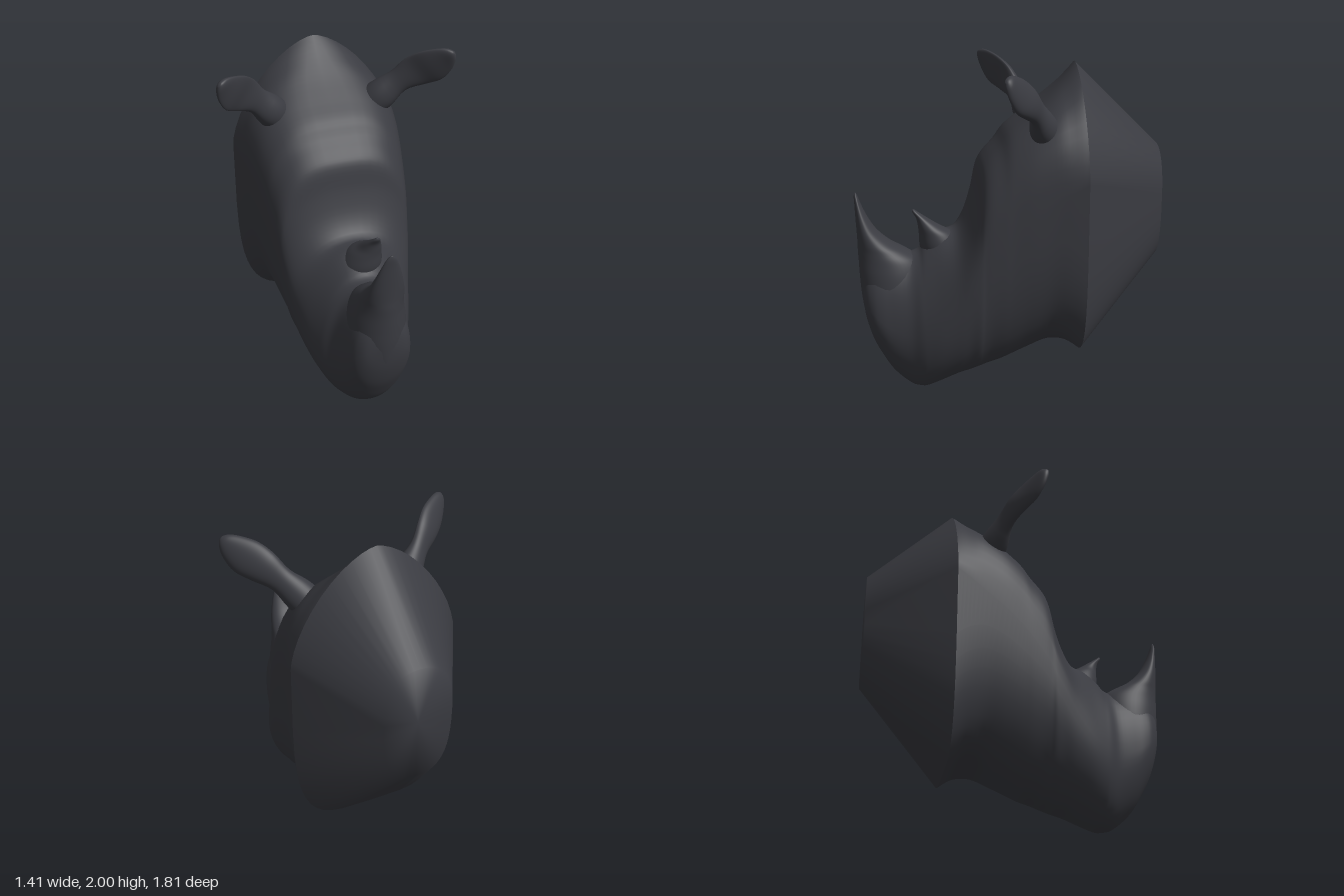
import * as THREE from 'three';

const SIDES = 48;

// Skin a list of rings (counter-clockwise seen from the far end), closing the chosen ends
function loft(rings, closeStart, closeEnd) {
  const n = rings[0].length, last = rings.length - 1, pos = [], idx = [];
  rings.forEach(r => r.forEach(p => pos.push(p.x, p.y, p.z)));
  for (let i = 0; i < last; i++) {
    for (let j = 0; j < n; j++) {
      const a = i * n + j, b = i * n + (j + 1) % n;
      idx.push(a, b, a + n, b, b + n, a + n);
    }
  }
  const close = (k, flip) => {
    const c = new THREE.Vector3();
    rings[k].forEach(p => c.addScaledVector(p, 1 / n));
    const m = pos.length / 3;
    pos.push(c.x, c.y, c.z);
    for (let j = 0; j < n; j++) {
      const a = k * n + j, b = k * n + (j + 1) % n;
      if (flip) idx.push(m, b, a); else idx.push(m, a, b);
    }
  };
  if (closeStart) close(0, true);
  if (closeEnd) close(last, false);
  const g = new THREE.BufferGeometry();
  g.setAttribute('position', new THREE.Float32BufferAttribute(pos, 3));
  g.setIndex(idx);
  g.computeVertexNormals();
  return g;
}

// Smooth curve through four neighbouring values
function blend(a, b, c, d, t) {
  const cubic = 3 * (b - c) + d - a;
  const square = 2 * a - 5 * b + 4 * c - d;
  return b + 0.5 * t * (c - a + t * (square + t * cubic));
}

// Insert smooth in-between rows into a table of section numbers
function smoothRows(rows, steps) {
  const out = [];
  for (let i = 0; i < rows.length - 1; i++) {
    const p0 = rows[Math.max(i - 1, 0)], p1 = rows[i], p2 = rows[i + 1];
    const p3 = rows[Math.min(i + 2, rows.length - 1)];
    for (let s = 0; s < steps; s++) {
      out.push(p1.map((v, k) => blend(p0[k], v, p2[k], p3[k], s / steps)));
    }
  }
  out.push(rows[rows.length - 1]);
  return out;
}

const ringAngles = Array.from({ length: SIDES }, (_, j) => j / SIDES * Math.PI * 2);
const power = (v, n) => Math.sign(v) * Math.pow(Math.abs(v), 2 / n);

// Upright slice: z, bottom, widest height, top, half width, roundness above and below
function headRing([z, yb, ym, yt, w, nt, nb]) {
  return ringAngles.map(a => {
    const c = Math.cos(a), s = Math.sin(a), n = s > 0 ? nt : nb;
    const h = s > 0 ? yt - ym : ym - yb;
    return new THREE.Vector3(w * power(c, n), ym + h * power(s, n), z);
  });
}

// Level slice of a horn: y, back z, front z, half width, sideways shift
function hornRing([y, zb, zf, w, x]) {
  return ringAngles.map(a => new THREE.Vector3(
    x + w * Math.cos(a), y, (zb + zf) / 2 - (zf - zb) / 2 * Math.sin(a)));
}

// Ear slices follow a path; the front face is hollowed
function earGeometry(side) {
  const rows = smoothRows([ // x, y, z, half width, half thickness, front fullness
    [0.22, 1.53, -0.25, 0.09, 0.09, 1], [0.34, 1.66, -0.16, 0.095, 0.08, 1],
    [0.43, 1.755, -0.11, 0.075, 0.05, 0.8], [0.51, 1.825, -0.05, 0.1, 0.055, 0.35],
    [0.58, 1.875, 0.01, 0.108, 0.052, 0.3], [0.64, 1.925, 0.055, 0.08, 0.04, 0.4],
    [0.675, 1.96, 0.08, 0.045, 0.028, 0.7], [0.69, 1.975, 0.092, 0.012, 0.01, 1],
  ], 4);
  const d = new THREE.Vector3(0.64, 0.62, 0.45).normalize();
  const v = d.clone().cross(new THREE.Vector3(-0.6, 0.75, -0.2)).normalize();
  const w = v.clone().cross(d);
  const rings = rows.map(([x, y, z, hw, ht, full]) => {
    const ring = ringAngles.map(a => {
      const s = Math.sin(a);
      const p = new THREE.Vector3(x, y, z).addScaledVector(w, hw * Math.cos(a))
        .addScaledVector(v, ht * s * (s > 0 ? full : 1));
      p.x *= side;
      return p;
    });
    return side < 0 ? ring.reverse() : ring;
  });
  return loft(rings, false, true);
}

export function createModel() {
  const model = new THREE.Group();
  model.name = 'rhinoHead';
  const hide = new THREE.MeshStandardMaterial({ color: 0x3a3b41 });
  hide.name = 'charcoal';
  const add = (name, geometry) => {
    const mesh = new THREE.Mesh(geometry, hide);
    mesh.name = name;
    model.add(mesh);
  };

  // Head from the neck rim to the lips
  const neckRim = [-0.4, 0.28, 1.36, 1.99, 0.515, 1.55, 4.3];
  add('head', loft(smoothRows([
    neckRim,
    [-0.32, 0.32, 1.31, 1.89, 0.50, 1.95, 3.5],
    [-0.22, 0.31, 1.24, 1.79, 0.48, 2.6, 2.8],
    [-0.1, 0.25, 1.15, 1.69, 0.46, 3.0, 2.5],
    [0, 0.20, 1.06, 1.61, 0.44, 3.0, 2.4],
    [0.06, 0.17, 0.99, 1.53, 0.43, 3.0, 2.3],
    [0.13, 0.145, 0.90, 1.455, 0.415, 3.0, 2.2],
    [0.17, 0.13, 0.84, 1.39, 0.405, 2.8, 2.2],
    [0.2, 0.12, 0.78, 1.25, 0.40, 2.6, 2.2],
    [0.25, 0.10, 0.70, 1.10, 0.385, 2.4, 2.1],
    [0.32, 0.08, 0.58, 1.005, 0.36, 2.2, 2.1],
    [0.42, 0.035, 0.46, 0.99, 0.325, 1.9, 2.0],
    [0.5, 0.003, 0.41, 0.93, 0.29, 1.9, 2.0],
    [0.54, 0.002, 0.40, 0.88, 0.27, 2.0, 2.0],
    [0.6, 0.02, 0.40, 0.86, 0.235, 2.0, 2.0],
    [0.7, 0.11, 0.43, 0.86, 0.205, 2.1, 2.0],
    [0.77, 0.22, 0.48, 0.84, 0.187, 2.1, 2.0],
    [0.82, 0.32, 0.53, 0.80, 0.163, 2.1, 2.0],
    [0.86, 0.45, 0.58, 0.74, 0.115, 2.1, 2.0],
    [0.88, 0.58, 0.62, 0.67, 0.03, 2.0, 2.0],
  ], 4).map(headRing), false, true));

  // Tapered neck block, closed at the back
  const neckEnd = [-0.9, 0.81, 1.2, 1.5, 0.21, 2.4, 2.8];
  add('neckBack', loft([neckEnd, neckRim].map(headRing), true, false));

  // Long nose horn, broad at its base and swept up to the tip
  add('frontHorn', loft(smoothRows([
    [0.33, 0.55, 0.80, 0.06, 0],
    [0.45, 0.52, 0.858, 0.115, 0],
    [0.6, 0.5, 0.884, 0.168, 0],
    [0.72, 0.5, 0.893, 0.165, 0],
    [0.82, 0.53, 0.897, 0.145, 0],
    [0.88, 0.61, 0.9, 0.128, 0],
    [0.93, 0.70, 0.9, 0.117, 0],
    [1.0, 0.78, 0.903, 0.1, 0],
    [1.08, 0.833, 0.907, 0.077, 0],
    [1.16, 0.87, 0.91, 0.05, 0],
    [1.21, 0.888, 0.912, 0.028, 0],
    [1.235, 0.9, 0.908, 0.006, 0],
  ], 4).map(hornRing), false, true));

  // Short second horn behind it
  add('rearHorn', loft(smoothRows([
    [0.8, 0.3, 0.5, 0.12, 0.0],
    [0.9, 0.28, 0.53, 0.125, 0.01],
    [0.98, 0.33, 0.535, 0.1, 0.025],
    [1.03, 0.41, 0.54, 0.07, 0.04],
    [1.08, 0.485, 0.55, 0.045, 0.045],
    [1.12, 0.54, 0.572, 0.022, 0.05],
    [1.135, 0.56, 0.572, 0.006, 0.05],
  ], 4).map(hornRing), false, true));

  // Ears
  add('leftEar', earGeometry(1));
  add('rightEar', earGeometry(-1));
  return model;
}
